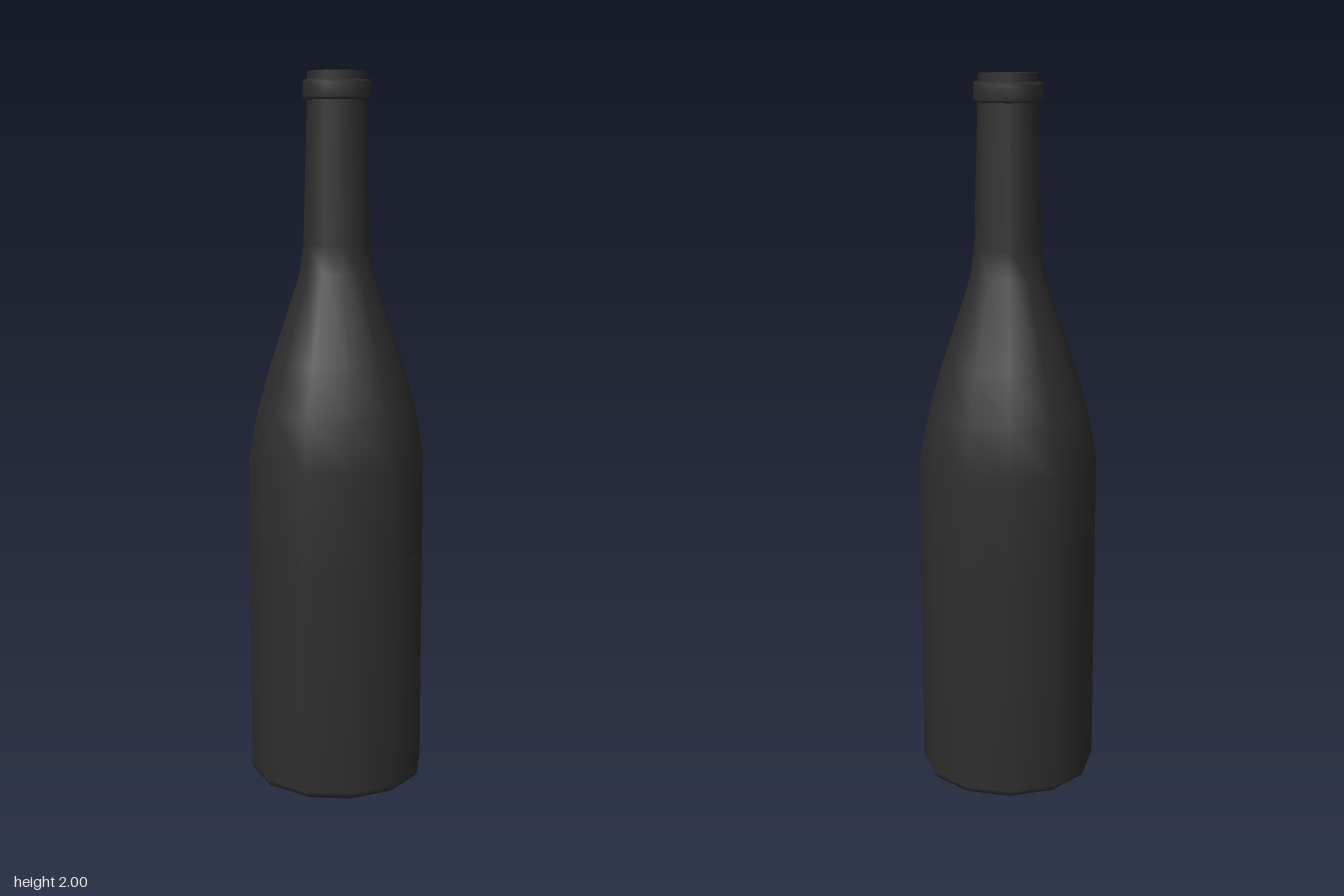
import * as THREE from 'three';

const SIDES = 12;
const glass = new THREE.MeshStandardMaterial({ color: 0x2e2e2e });
const paper = new THREE.MeshStandardMaterial({ color: 0x2e2e2e, side: THREE.DoubleSide });

// Turned part from a bottom-to-top profile of [radius, height] pairs
function turned(name, profile, material = glass, sides = SIDES, start = 0, sweep = Math.PI * 2) {
  const points = profile.map(([r, y]) => new THREE.Vector2(r, y));
  const mesh = new THREE.Mesh(new THREE.LatheGeometry(points, sides, start, sweep), material);
  mesh.name = name;
  return mesh;
}

export function createModel() {
  const bottle = new THREE.Group();
  bottle.name = 'bottle';

  // Hollow dome under the base
  bottle.add(turned('punt', [[0, 0.1], [0.06, 0.09], [0.12, 0.055], [0.175, 0.012], [0.2, 0], [0.225, 0]]));

  // Body, sloping shoulder and neck
  bottle.add(turned('body', [
    [0.225, 0], [0.243, 0.01], [0.25, 0.026], [0.25, 0.3], [0.25, 0.65], [0.25, 0.94],
    [0.223, 1.077], [0.185, 1.21], [0.104, 1.455], [0.093, 1.54], [0.082, 1.93],
  ]));

  // Raised ring below the mouth
  bottle.add(turned('neckRing', [
    [0.08, 1.924], [0.09, 1.924], [0.094, 1.932], [0.094, 1.968], [0.09, 1.977], [0.08, 1.977],
  ]));

  // Mouth wall and its flat closed top
  bottle.add(turned('mouth', [[0.081, 1.97], [0.081, 2]]));
  bottle.add(turned('mouthTop', [[0.081, 2], [0, 2]]));

  // Thin label wrapped round the front third
  bottle.add(turned('label', [[0.25, 0.18], [0.254, 0.18], [0.254, 0.67], [0.25, 0.67]],
    paper, 4, -Math.PI / 3, Math.PI * 2 / 3));

  bottle.position.z = -0.002;
  const model = new THREE.Group();
  model.add(bottle);
  return model;
}
